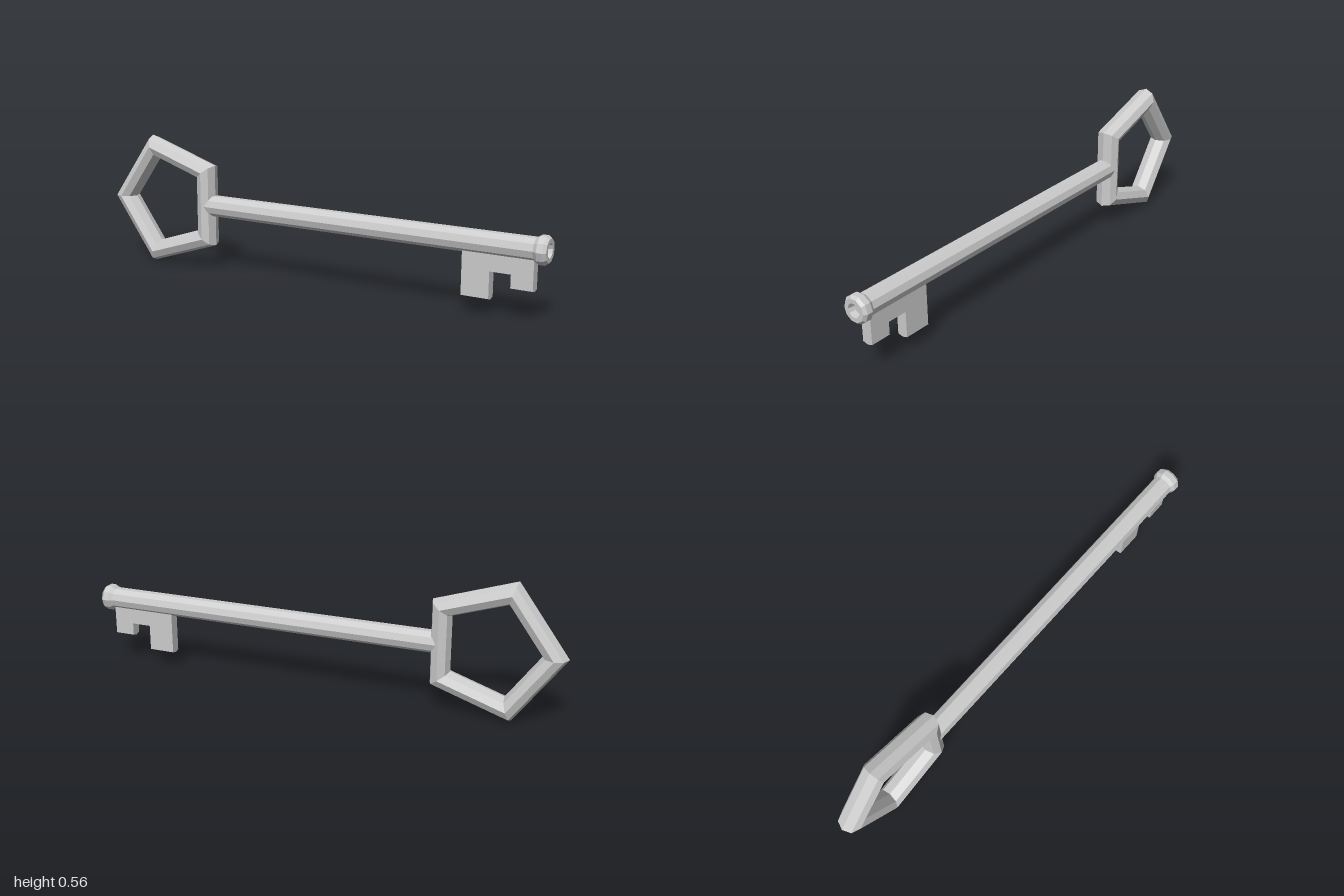
import * as THREE from 'three';

export function createModel() {
  const key = new THREE.Group();
  key.name = 'key';
  const material = new THREE.MeshStandardMaterial({ color: 0xcccccc, flatShading: true });
  const axisY = 0.28; // height of the shaft's centre line

  const add = (name, geometry, x = 0, y = 0, z = 0) => {
    const mesh = new THREE.Mesh(geometry, material);
    mesh.name = name;
    mesh.position.set(x, y, z);
    key.add(mesh);
  };

  // Bow: five-sided ring with an octagonal section, one corner pointing to -x
  const bow = new THREE.TorusGeometry(0.244, 0.05, 8, 5);
  bow.rotateZ(Math.PI);
  add('bow', bow, -0.706, axisY);

  // Shaft with flared collar and a shallow recess in its end: [radius, x]
  const profile = [
    [0, -0.52], [0.045, -0.52], [0.045, 0.95], [0.0555, 0.965],
    [0.0555, 0.988], [0.046, 1], [0.028, 1], [0.023, 0.975], [0, 0.975],
  ].map(([r, x]) => new THREE.Vector2(r, x));
  const shaft = new THREE.LatheGeometry(profile, 10);
  shaft.rotateZ(-Math.PI / 2);
  add('shaft', shaft, 0, axisY);

  // Bit: two teeth with a notch between them
  const outline = new THREE.Shape([
    [0.672, 0.27], [0.672, 0.072], [0.782, 0.072], [0.782, 0.178],
    [0.865, 0.178], [0.865, 0.126], [0.95, 0.126], [0.95, 0.27],
  ].map(([x, y]) => new THREE.Vector2(x, y)));
  const bit = new THREE.ExtrudeGeometry(outline, { depth: 0.044, steps: 2, bevelEnabled: false });
  bit.translate(0, 0, -0.022);
  // Lower edges come to a slight ridge along the middle
  const p = bit.attributes.position;
  for (let i = 0; i < p.count; i++) {
    if (Math.abs(p.getZ(i)) < 0.001 && p.getY(i) < 0.2) p.setY(i, p.getY(i) - 0.006);
  }
  bit.computeVertexNormals();
  add('bit', bit);

  return key;
}
